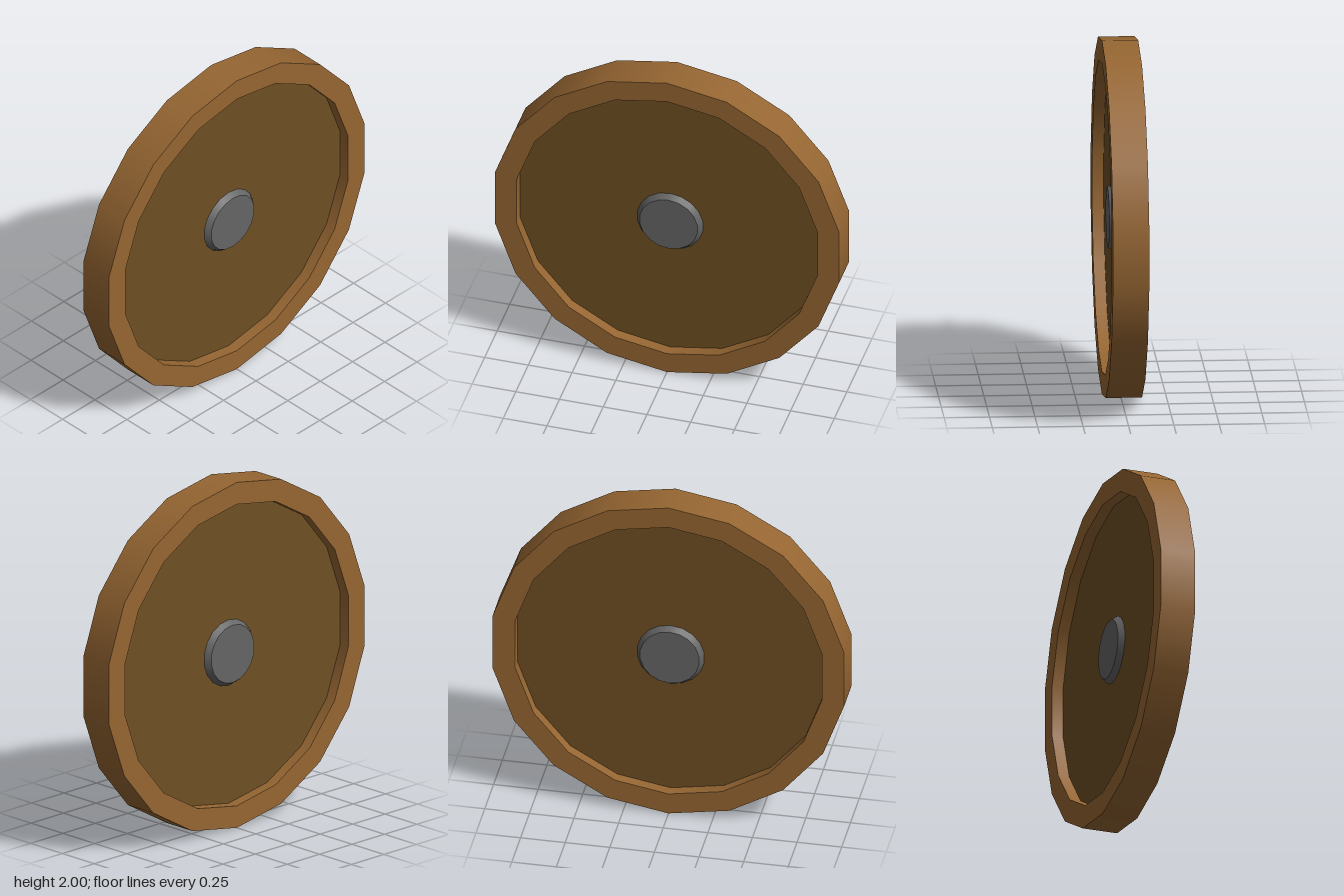
import * as THREE from 'three';
import { mergeGeometries } from 'three/addons/utils/BufferGeometryUtils.js';

const SIDES = 18;

// Turned shape around z: one lathe band per profile segment keeps the profile's edges sharp
// while each band stays smooth around the wheel. Profile points are [radius, z].
function turned(name, profile, material) {
  const bands = [];
  for (let i = 0; i < profile.length - 1; i++) {
    const pts = [profile[i], profile[i + 1]].map(([r, z]) => new THREE.Vector2(r, z));
    bands.push(new THREE.LatheGeometry(pts, SIDES));
  }
  const geometry = mergeGeometries(bands).rotateX(Math.PI / 2);
  const mesh = new THREE.Mesh(geometry, material);
  mesh.name = name;
  return mesh;
}

export function createModel() {
  const rimWood = new THREE.MeshStandardMaterial({ color: 0x966632 });
  rimWood.name = 'rim wood';
  const panelWood = new THREE.MeshStandardMaterial({ color: 0x6e4f23 });
  panelWood.name = 'panel wood';
  const iron = new THREE.MeshStandardMaterial({ color: 0x656565 });
  iron.name = 'iron';

  const R = 1, INNER = 0.873, HALF = 0.1, PANEL = 0.036, CAP = 0.069;
  const wheel = new THREE.Group();
  wheel.name = 'wheel';

  // Thick outer rim
  wheel.add(turned('rim', [
    [INNER, -PANEL], [INNER, -HALF], [R, -HALF], [R, HALF], [INNER, HALF], [INNER, PANEL],
  ], rimWood));

  // Recessed panel and bevelled hub cap, on the front and the back
  for (const [side, turn] of [['front', 0], ['back', Math.PI]]) {
    const face = new THREE.Group();
    face.name = side + 'Face';
    face.add(turned('panel', [[INNER, PANEL], [0, PANEL]], panelWood));
    face.add(turned('hubCap', [[0.19, PANEL], [0.167, CAP], [0, CAP]], iron));
    face.rotation.y = turn;
    wheel.add(face);
  }

  // Stand the wheel on the ground
  wheel.position.y = R;
  const model = new THREE.Group();
  model.name = 'model';
  model.add(wheel);
  return model;
}
